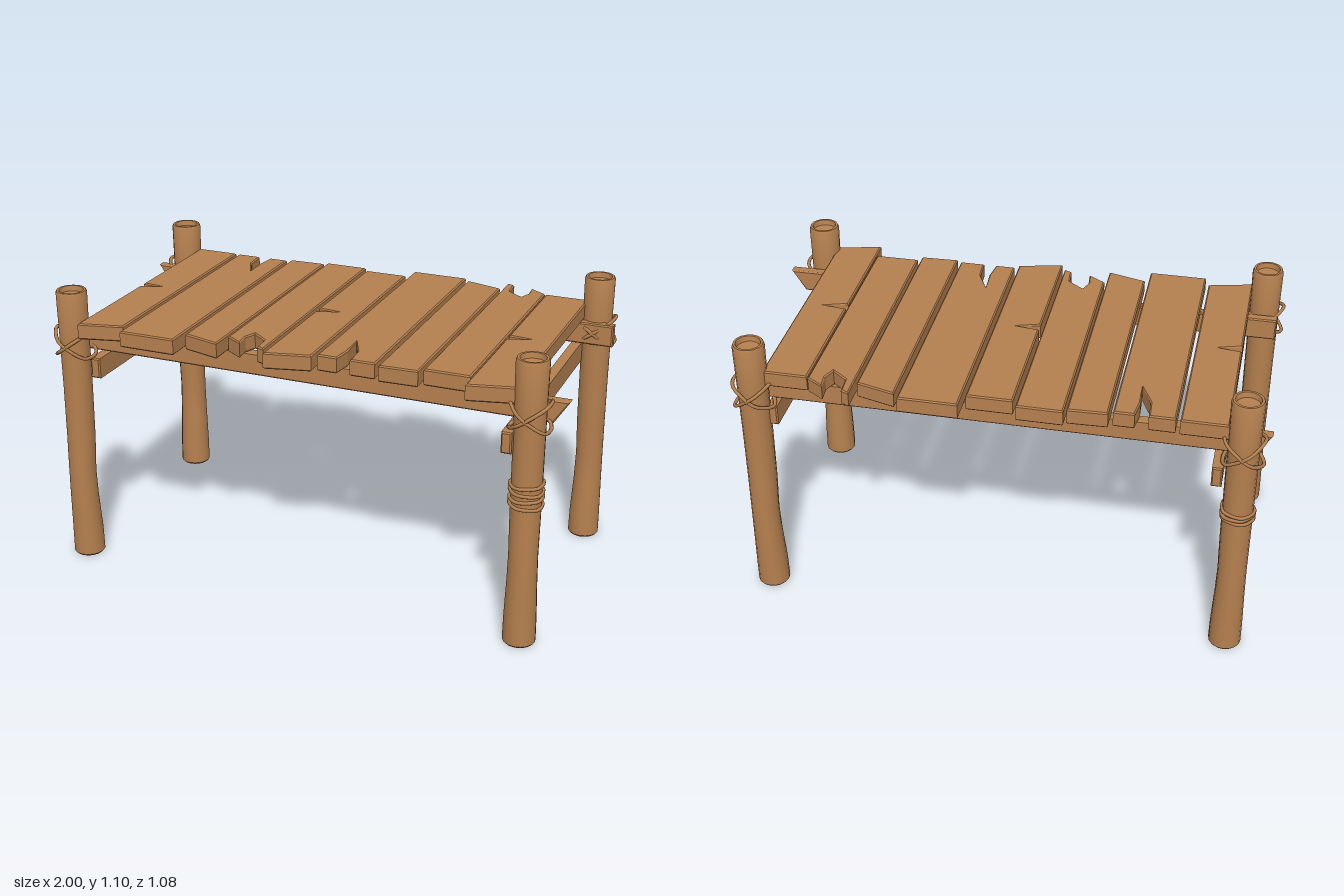
import * as THREE from 'three';
import { toCreasedNormals } from 'three/addons/utils/BufferGeometryUtils.js';

const wood = new THREE.MeshStandardMaterial({ color: 0xb5804f });
wood.name = 'brown wood';

function part(name, geometry, parent) {
  const mesh = new THREE.Mesh(geometry, wood);
  mesh.name = name;
  parent.add(mesh);
  return mesh;
}

// Outline in the plane of two axes, extruded with a fine chamfer
function slab(points, depth) {
  const b = 0.005;
  const shape = new THREE.Shape(points.map(([x, y]) => new THREE.Vector2(x, y)));
  const geo = new THREE.ExtrudeGeometry(shape, {
    depth: depth - 2 * b, bevelThickness: b, bevelSize: b, bevelOffset: -b, bevelSegments: 1,
  });
  return geo.translate(0, 0, b);
}

// Plank outlines (x, z) about the plank's own centre line
const plankTypes = {
  split: [[-0.085, -0.47], [0.085, -0.47], [0.085, 0.48], [-0.085, 0.52],
    [-0.085, 0.05], [0.005, 0.025], [-0.085, 0.018]],
  cracked: [[-0.11, -0.466], [-0.015, -0.466], [-0.01, -0.38], [0.03, -0.29],
    [0.024, -0.39], [0.034, -0.466], [0.11, -0.466], [0.11, 0.53], [-0.11, 0.53]],
  slanted: [[-0.073, -0.48], [0.073, -0.485], [0.073, 0.5], [-0.073, 0.46]],
  broken: [[-0.085, -0.5], [0.085, -0.5], [0.085, 0.485], [0.055, 0.472], [0.05, 0.4],
    [-0.008, 0.355], [-0.025, 0.4], [-0.02, 0.46], [-0.085, 0.42]],
};
// type, x, z, turned end for end
const planks = [
  ['split', -0.765, 0, false], ['cracked', -0.555, 0, false], ['slanted', -0.357, 0, false],
  ['broken', -0.19, 0, false], ['split', -0.005, 0, false], ['cracked', 0.205, -0.004, true],
  ['slanted', 0.405, -0.01, true], ['broken', 0.575, -0.055, true], ['split', 0.75, 0, false],
];

// Log with flared foot, gentle bow and a hollowed top
function postGeometry(outX, outZ) {
  const profile = [[0, 0], [0.054, 0], [0.061, 0.008], [0.06, 0.1], [0.055, 0.25], [0.053, 0.36],
    [0.055, 0.5], [0.056, 0.7], [0.057, 0.9], [0.059, 1.09], [0.055, 1.1], [0.046, 1.1],
    [0.042, 1.08], [0, 1.075]];
  const geo = new THREE.LatheGeometry(profile.map(([r, y]) => new THREE.Vector2(r, y)), 16);
  const p = geo.attributes.position;
  for (let i = 0; i < p.count; i++) {
    const bow = 0.008 * Math.exp(-(((p.getY(i) - 0.33) / 0.16) ** 2));
    p.setX(i, p.getX(i) + outX * bow * 0.3);
    p.setZ(i, p.getZ(i) + outZ * bow);
  }
  return toCreasedNormals(geo, 0.6);
}

// Closed rope loop around a post, with slightly uneven bends
function ropeLoop(rx, rz, thickness) {
  const pts = [];
  for (let i = 0; i < 10; i++) {
    const a = (i / 10) * Math.PI * 2;
    const k = 1 + (i % 2 ? 0.04 : -0.02);
    pts.push(new THREE.Vector3(Math.cos(a) * rx * k, 0, Math.sin(a) * rz * k));
  }
  return new THREE.TubeGeometry(new THREE.CatmullRomCurve3(pts, true), 30, thickness, 6, true);
}

export function createModel() {
  const model = new THREE.Group();
  model.name = 'plankTable';

  // Table top
  const top = new THREE.Group();
  top.name = 'tableTop';
  model.add(top);
  planks.forEach(([type, x, z, turned]) => {
    const plank = part('plank', slab(plankTypes[type], 0.062).rotateX(Math.PI / 2), top);
    plank.position.set(x, 0.992, z);
    if (turned) plank.rotation.y = Math.PI;
  });

  // Long rails, each with one end cut at a slant
  const railShape = [[-0.96, 0.845], [0.945, 0.845], [1, 0.93], [-0.96, 0.93]];
  const frontRail = part('frontRail', slab(railShape, 0.04), model);
  frontRail.position.z = 0.358;
  const backRail = part('backRail', slab(railShape, 0.04), model);
  backRail.rotation.y = Math.PI;
  backRail.position.z = -0.377;

  // Short rails under the long ones, each poking out past one post
  const crossShape = [[-0.02, 0.755], [0.018, 0.755], [0.018, 0.835], [-0.02, 0.835]];
  for (const [name, x, z0] of [['leftCrossRail', 0.815, -0.46], ['rightCrossRail', -0.822, -0.51]]) {
    part(name, slab(crossShape, 0.97), model).position.set(x, 0, z0);
  }

  // Posts and rope lashings
  const corners = [[0.88, 0.455, 4], [0.88, -0.455, 0], [-0.905, 0.46, 0], [-0.905, -0.455, 3]];
  for (const [x, z, wraps] of corners) {
    const leg = new THREE.Group();
    leg.name = 'leg';
    leg.position.set(x, 0, z);
    model.add(leg);
    part('post', postGeometry(Math.sign(x), Math.sign(z)), leg);

    // Two tilted loops crossing where the post meets the long rail
    for (const s of [-1, 1]) {
      const loop = part('crossLashing', ropeLoop(0.088, 0.075, 0.007), leg);
      loop.position.set(0, 0.89, -Math.sign(z) * 0.004);
      loop.rotation.z = s * 0.62;
    }
    // Level wraps lower on the post
    for (let i = 0; i < wraps; i++) {
      const wrap = part('ropeWrap', ropeLoop(0.058, 0.058, 0.007), leg);
      wrap.position.y = 0.633 - i * (wraps === 4 ? 0.026 : 0.015);
      wrap.rotation.z = (i % 2 ? -1 : 1) * 0.06;
    }
  }
  return model;
}
